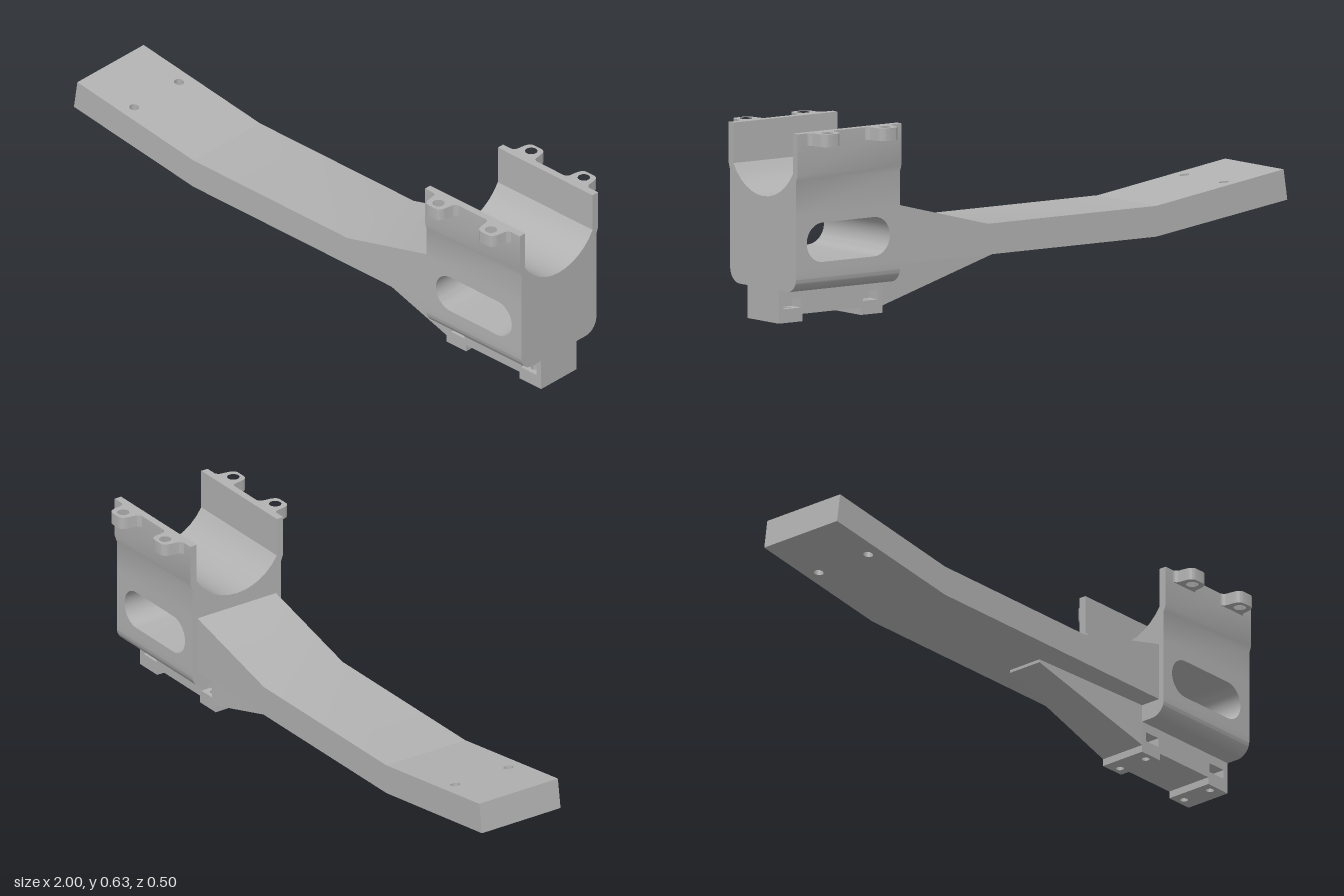
import * as THREE from 'three';
import { toCreasedNormals } from 'three/addons/utils/BufferGeometryUtils.js';

const X0 = 0.58, X1 = 1;

function shapeOf(points) {
  return new THREE.Shape(points.map(([a, b]) => new THREE.Vector2(a, b)));
}
function rect(a0, b0, a1, b1) {
  return shapeOf([[a0, b0], [a1, b0], [a1, b1], [a0, b1]]);
}
function hole(shape, a, b, r) {
  const p = new THREE.Path();
  p.absarc(a, b, r, 0, Math.PI * 2, true);
  shape.holes.push(p);
}
function extrude(shape, depth) {
  return new THREE.ExtrudeGeometry(shape, { depth, bevelEnabled: false, curveSegments: 10 });
}
// Profile drawn in z and y, extruded along x over the cradle length
const alongX = (shape) => extrude(shape, X1 - X0).rotateY(Math.PI / 2).translate(X0, 0, 0);
// Plan drawn in x and -z, extruded upward
const alongY = (shape, y0, y1) => extrude(shape, y1 - y0).rotateX(-Math.PI / 2).translate(0, y0, 0);
// Side view drawn in x and y, centred in z
const alongZ = (shape, half) => extrude(shape, 2 * half).translate(0, 0, -half);

export function createModel() {
  const model = new THREE.Group();
  model.name = 'cradleBracket';
  const grey = new THREE.MeshStandardMaterial({ color: 0xb2b2b2 });
  grey.name = 'grey plastic';

  function add(name, geometry, parent = model) {
    const mesh = new THREE.Mesh(toCreasedNormals(geometry, 0.6), grey);
    mesh.name = name;
    parent.add(mesh);
    return mesh;
  }

  // Upper cradle: thin side walls above a round saddle
  const cy = 0.589, r = 0.184, a = Math.asin(0.158 / r);
  const saddle = [];
  for (let i = 0; i <= 12; i++) {
    const t = a - (2 * a * i) / 12;
    saddle.push([r * Math.sin(t), cy - r * Math.cos(t)]);
  }
  add('cradleSaddle', alongX(shapeOf([
    [-0.175, 0.36], [0.175, 0.36], [0.175, 0.47], [0.183, 0.493], [0.183, 0.626], [0.158, 0.626],
    ...saddle,
    [-0.158, 0.626], [-0.183, 0.626], [-0.183, 0.493], [-0.175, 0.47],
  ])));

  // Middle block with a long slot through it
  const block = rect(X0, 0.18, X1, 0.36);
  const slot = new THREE.Path();
  slot.absarc(0.685, 0.266, 0.064, -Math.PI / 2, Math.PI / 2, true);
  slot.absarc(0.893, 0.266, 0.064, Math.PI / 2, -Math.PI / 2, true);
  slot.closePath();
  block.holes.push(slot);
  add('slottedBlock', alongZ(block, 0.175));

  // Rounded belly under the block
  const belly = new THREE.Shape();
  belly.moveTo(0.175, 0.18);
  belly.lineTo(-0.175, 0.18);
  belly.lineTo(-0.175, 0.157);
  belly.absarc(-0.125, 0.157, 0.05, Math.PI, Math.PI * 1.5, false);
  belly.absarc(0.125, 0.157, 0.05, Math.PI * 1.5, Math.PI * 2, false);
  add('roundedBelly', alongX(belly));

  // Mounting base in layers: feet, drilled plate, nut pockets, top
  const base = new THREE.Group();
  base.name = 'mountingBase';
  model.add(base);
  const w = 0.083, p = 0.035, boltXs = [0.63, 0.945];
  const plate = rect(X0, -w, X1, w);
  [[X0, 0.668], [0.905, X1]].forEach(([x0, x1], i) => {
    const foot = rect(x0, -w, x1, w);
    for (const s of [-1, 1]) {
      hole(foot, boltXs[i], s * 0.055, 0.013);
      hole(plate, boltXs[i], s * 0.055, 0.013);
    }
    add('foot', alongY(foot, 0, 0.024), base);
  });
  add('drilledPlate', alongY(plate, 0.024, 0.045), base);
  const edge = [[X0, w], [0.6, w], [0.6, p], [0.66, p], [0.66, w],
    [0.91, w], [0.91, p], [0.98, p], [0.98, w], [X1, w]];
  const otherEdge = edge.map(([x, z]) => [x, -z]).reverse();
  add('nutPocketLayer', alongY(shapeOf([...edge, ...otherEdge]), 0.045, 0.076), base);
  add('baseTop', alongY(rect(X0, -w, X1, w), 0.076, 0.107), base);

  // Screw ears on both walls
  const ear = new THREE.Shape();
  ear.moveTo(-0.056, 0);
  ear.quadraticCurveTo(-0.042, 0.004, -0.041, 0.02);
  ear.lineTo(-0.038, 0.04);
  ear.quadraticCurveTo(-0.034, 0.064, -0.016, 0.065);
  ear.lineTo(0.016, 0.065);
  ear.quadraticCurveTo(0.034, 0.064, 0.038, 0.04);
  ear.lineTo(0.041, 0.02);
  ear.quadraticCurveTo(0.042, 0.004, 0.056, 0);
  hole(ear, 0, 0.034, 0.02);
  const earGeometry = alongY(ear, 0.585, 0.626);
  for (const x of [0.672, 0.905]) {
    for (const s of [-1, 1]) {
      const mesh = add('screwEar', earGeometry, model);
      mesh.position.set(x, 0, s * 0.183);
      if (s > 0) mesh.rotation.y = Math.PI;
    }
  }

  // Straight arm, thickening where it meets the cradle
  add('arm', alongZ(shapeOf([
    [-0.47, 0.165], [X0, 0.165], [X0, 0.36], [0.21, 0.265], [-0.47, 0.265],
  ]), 0.155));

  // Drilled arm end, sheared upward
  const end = rect(-1, -0.155, -0.47, 0.155);
  for (const s of [-1, 1]) hole(end, -0.79, s * 0.105, 0.016);
  const endGeometry = alongY(end, 0, 0.1);
  const pos = endGeometry.attributes.position;
  for (let i = 0; i < pos.count; i++) {
    const t = (-0.47 - pos.getX(i)) / 0.53, y = pos.getY(i);
    pos.setXY(i, pos.getX(i) + 0.15 * t * y, 0.165 + y + 0.075 * t);
  }
  add('armEnd', endGeometry);

  // Sloping gusset below the arm, narrowing toward its tip
  const gusset = alongZ(shapeOf([[0.1, 0.155], [X0, 0.024], [X0, 0.17], [0.1, 0.17]]), w);
  const gp = gusset.attributes.position;
  for (let i = 0; i < gp.count; i++) {
    if (gp.getX(i) < 0.2) gp.setZ(i, gp.getZ(i) * 0.75);
  }
  add('gusset', gusset);

  return model;
}
